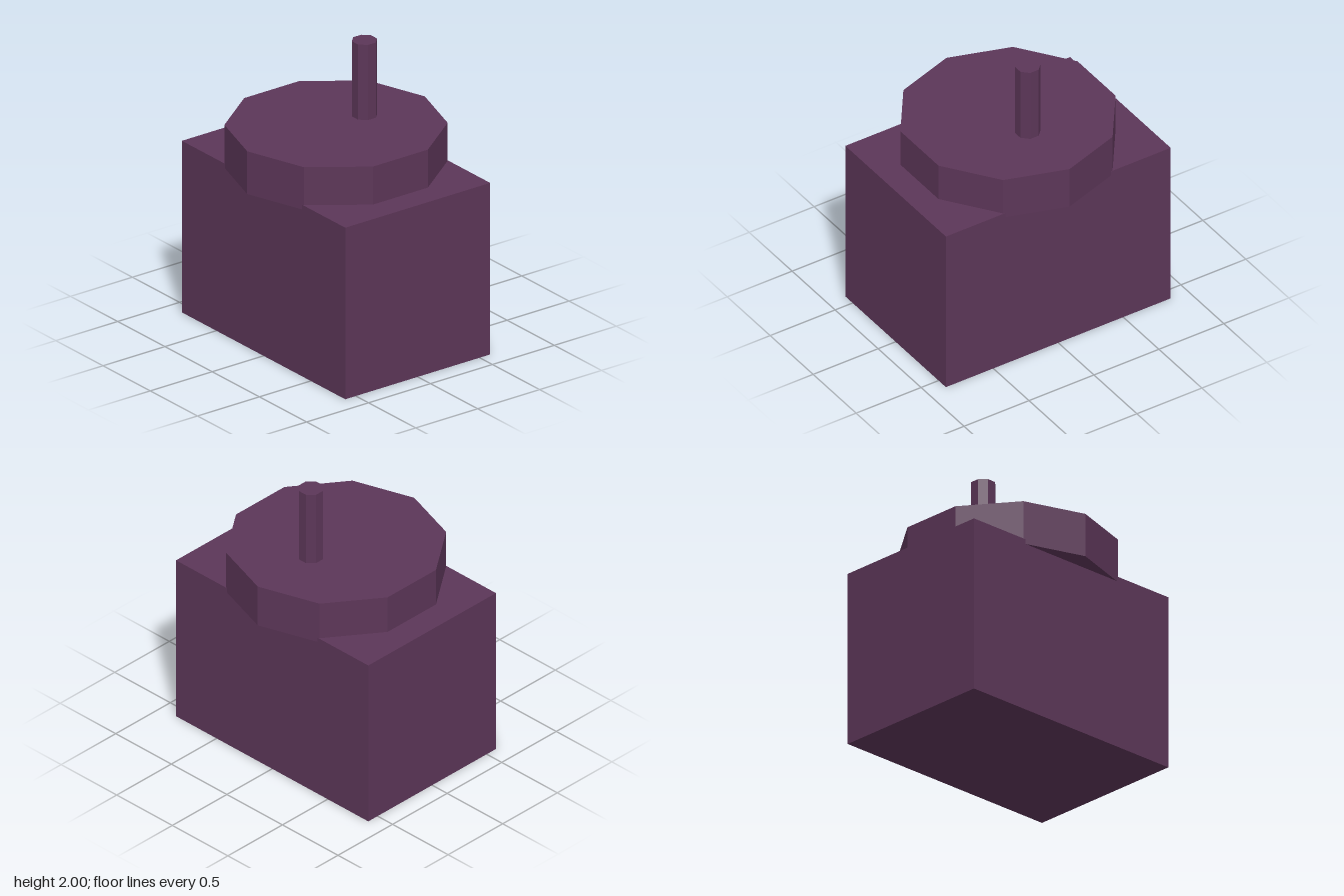
import * as THREE from 'three';

export function createModel() {
  const group = new THREE.Group();
  const material = new THREE.MeshStandardMaterial({ color: 0x5c3658, flatShading: true });

  const addPart = (name, geometry, bottom, height, z = 0) => {
    const mesh = new THREE.Mesh(geometry, material);
    mesh.name = name;
    mesh.position.set(0, bottom + height / 2, z);
    group.add(mesh);
    return mesh;
  };

  // Block-shaped body
  addPart('body', new THREE.BoxGeometry(1.73, 1.205, 1.17), 0, 1.205);

  // Ten-sided cap, sunk slightly into the body and overhanging front and back
  addPart('cap', new THREE.CylinderGeometry(0.717, 0.717, 0.3, 10), 1.172, 0.3);

  // Eight-sided stem, set toward the back with flats facing the axes
  const stem = addPart('stem', new THREE.CylinderGeometry(0.084, 0.084, 0.55, 8), 1.45, 0.55, -0.23);
  stem.rotation.y = Math.PI / 8;

  return group;
}
